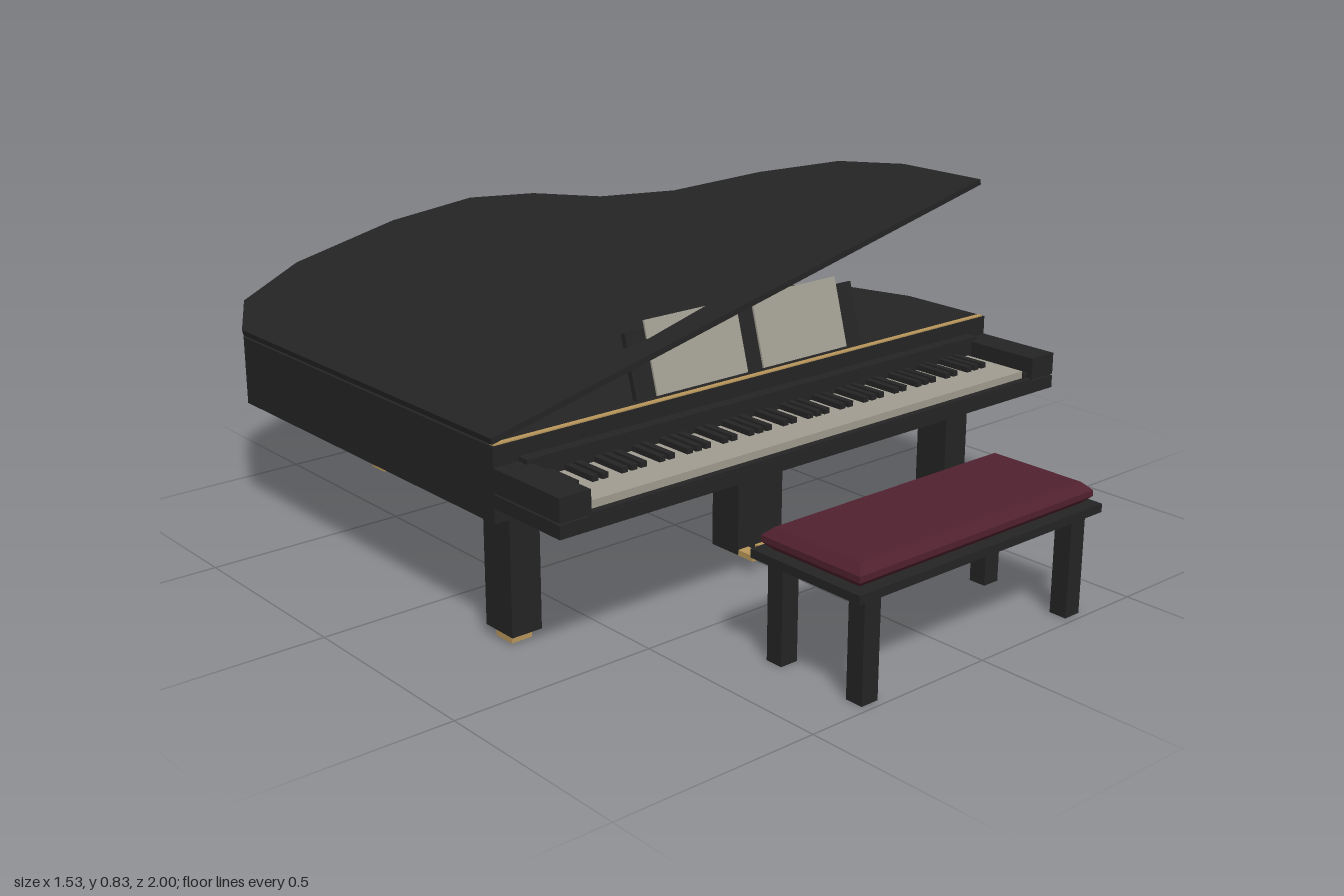
import * as THREE from 'three';

const material = (name, color) => {
  const m = new THREE.MeshStandardMaterial({ color });
  m.name = name;
  return m;
};

export function createModel() {
  const black = material('black lacquer', 0x242424);
  const ivory = material('ivory', 0xa09c90);
  const brass = material('brass', 0xb8965a);
  const red = material('red leather', 0x50212e);

  const root = new THREE.Group();
  root.name = 'grandPianoWithBench';

  const add = (name, geometry, mat, parent = root) => {
    const mesh = new THREE.Mesh(geometry, mat);
    mesh.name = name;
    parent.add(mesh);
    return mesh;
  };
  // Box given by its extents on each axis
  const box = (name, mat, [x0, x1], [y0, y1], [z0, z1], parent = root) => {
    const g = new THREE.BoxGeometry(x1 - x0, y1 - y0, z1 - z0);
    g.translate((x0 + x1) / 2, (y0 + y1) / 2, (z0 + z1) / 2);
    return add(name, g, mat, parent);
  };

  // Plan outline (x, z) shared by the case and the lid
  const hingeX = -0.765;
  const outline = [
    [-0.765, 0.32], [0.765, 0.32], [0.765, 0.06], [0.71, -0.12], [0.56, -0.27],
    [0.365, -0.395], [0.245, -0.56], [0.175, -0.77], [0.07, -0.925],
    [-0.14, -1], [-0.45, -1], [-0.664, -0.905], [-0.765, -0.735],
  ];
  const slab = (height, shiftX) => {
    const shape = new THREE.Shape(outline.map(([x, z]) => new THREE.Vector2(x + shiftX, -z)));
    return new THREE.ExtrudeGeometry(shape, { depth: height, bevelEnabled: false }).rotateX(-Math.PI / 2);
  };

  // Case, and lid raised on its left-hand hinge
  add('case', slab(0.17, 0), black).position.y = 0.3;
  const lid = add('lid', slab(0.014, -hingeX), black);
  lid.position.set(hingeX, 0.475, 0);
  lid.rotation.z = THREE.MathUtils.degToRad(12.9);
  box('brassTrim', brass, [-0.76, 0.76], [0.469, 0.473], [0.303, 0.317]);
  box('lidProp', black, [0.316, 0.332], [0.46, 0.682], [-0.119, -0.109]);

  // Keyboard
  box('keybed', black, [-0.765, 0.765], [0.335, 0.366], [0.31, 0.545]);
  box('keySlip', black, [-0.69, 0.69], [0.36, 0.372], [0.525, 0.543]);
  box('fallboard', black, [-0.7, 0.7], [0.36, 0.435], [0.31, 0.35]);
  for (const s of [-1, 1]) {
    const x = [s * 0.685, s * 0.765].sort((a, b) => a - b);
    box('cheekBlock', black, x, [0.37, 0.424], [0.31, 0.545]);
    const inner = [s * 0.673, s * 0.7].sort((a, b) => a - b);
    box('keyEndBlock', black, inner, [0.36, 0.385], [0.34, 0.53]);
  }
  box('whiteKeys', ivory, [-0.673, 0.673], [0.36, 0.39], [0.345, 0.525]);
  const pitch = 1.346 / 52;
  for (let i = 0; i < 51; i++) {
    // Octave starts on A; no sharp follows B or E
    if (i % 7 === 1 || i % 7 === 4) continue;
    const x = -0.673 + (i + 1) * pitch;
    box('blackKey', black, [x - 0.008, x + 0.008], [0.385, 0.403], [0.345, 0.445]);
  }

  // Music desk leaning back, with two sheets
  const desk = new THREE.Group();
  desk.name = 'musicDesk';
  desk.position.set(0, 0.47, 0.277);
  desk.rotation.x = -0.28;
  root.add(desk);
  box('deskBoard', black, [-0.352, 0.352], [-0.01, 0.151], [-0.007, 0.007], desk);
  box('leftSheet', ivory, [0.025, 0.297], [0, 0.171], [0.008, 0.013], desk);
  box('rightSheet', ivory, [-0.297, -0.025], [0, 0.171], [0.008, 0.013], desk);

  // Legs on brass casters
  for (const [x, z, d] of [[-0.684, 0.265, 0.048], [0.684, 0.265, 0.048], [-0.325, -0.82, 0.038]]) {
    box('leg', black, [x - 0.039, x + 0.039], [0.025, 0.305], [z - d, z + d]);
    box('caster', brass, [x - 0.027, x + 0.027], [0.002, 0.026], [z - 0.028, z + 0.028]);
    box('casterHub', black, [x - 0.012, x + 0.012], [0, 0.004], [z - 0.012, z + 0.012]);
  }

  // Pedal lyre
  box('lyre', black, [-0.07, 0.07], [0.037, 0.305], [0.22, 0.31]);
  for (const x of [-0.053, 0, 0.053]) {
    box('pedal', brass, [x - 0.016, x + 0.016], [0.036, 0.05], [0.25, 0.36]);
  }

  // Bench
  const bench = new THREE.Group();
  bench.name = 'bench';
  bench.position.z = 0.843;
  root.add(bench);
  for (const x of [-0.323, 0.323]) {
    for (const z of [-0.117, 0.117]) {
      box('benchLeg', black, [x - 0.023, x + 0.023], [0, 0.245], [z - 0.022, z + 0.022], bench);
    }
  }
  box('benchBoard', black, [-0.38, 0.38], [0.238, 0.258], [-0.157, 0.157], bench);

  // Cushion with chamfered upper and lower edges
  const pad = new THREE.Shape([
    new THREE.Vector2(-0.345, -0.122), new THREE.Vector2(0.345, -0.122),
    new THREE.Vector2(0.345, 0.122), new THREE.Vector2(-0.345, 0.122),
  ]);
  const padGeometry = new THREE.ExtrudeGeometry(pad, {
    depth: 0.014, bevelEnabled: true, bevelThickness: 0.019, bevelSize: 0.02, bevelSegments: 1,
  });
  padGeometry.rotateX(-Math.PI / 2);
  add('cushion', padGeometry, red, bench).position.y = 0.275;

  return root;
}
